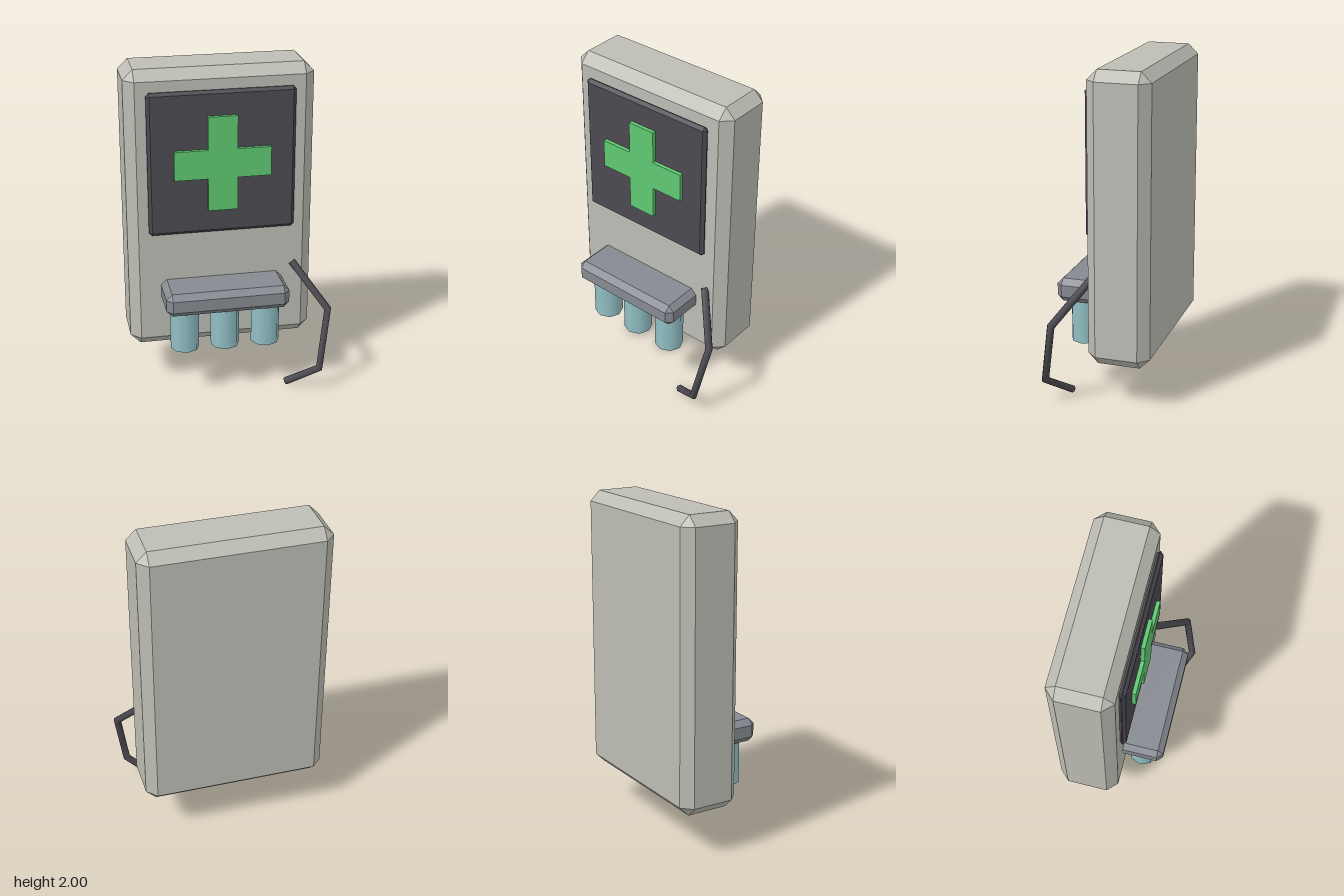
import * as THREE from 'three';
import { ConvexGeometry } from 'three/addons/geometries/ConvexGeometry.js';

const mat = (name, color) => new THREE.MeshStandardMaterial({ name, color });

// Box with bevelled edges and triangular corners, given by its min and max corners
function chamferBox(min, max, c) {
  const centre = min.map((v, i) => (v + max[i]) / 2);
  const half = min.map((v, i) => (max[i] - v) / 2);
  const points = [];
  for (const sx of [-1, 1]) for (const sy of [-1, 1]) for (const sz of [-1, 1]) {
    const sign = [sx, sy, sz];
    for (let full = 0; full < 3; full++) {
      const p = sign.map((s, i) => centre[i] + s * (half[i] - (i === full ? 0 : c)));
      points.push(new THREE.Vector3(...p));
    }
  }
  return new ConvexGeometry(points);
}

// Straight runs joined with mitred corners
class BentPath extends THREE.Curve {
  constructor(points) {
    super();
    this.points = points;
  }
  getPointAt(u) {
    return this.points[Math.round(u * (this.points.length - 1))].clone();
  }
  getTangentAt(u) {
    const p = this.points, i = Math.round(u * (p.length - 1));
    const t = new THREE.Vector3();
    if (i > 0) t.add(p[i].clone().sub(p[i - 1]).normalize());
    if (i < p.length - 1) t.add(p[i + 1].clone().sub(p[i]).normalize());
    return t.normalize();
  }
}

export function createModel() {
  const model = new THREE.Group();
  model.name = 'wallDispenser';

  const casing = mat('casing grey', 0xbdbdb5);
  const dark = mat('dark charcoal', 0x4c4a51);
  const green = mat('cross green', 0x5fc872);
  const steel = mat('shelf grey', 0x868a91);
  const glass = mat('pale teal', 0x92c0c5);

  const add = (name, geometry, material, parent = model) => {
    const mesh = new THREE.Mesh(geometry, material);
    mesh.name = name;
    parent.add(mesh);
    return mesh;
  };

  // Casing, screen and shelf
  add('casing', chamferBox([-0.6, 0.275, -0.322], [0.512, 2, 0.05], 0.06), casing);
  add('screen', chamferBox([-0.48, 1.015, 0.046], [0.39, 1.88, 0.087], 0.018), dark);
  add('shelf', chamferBox([-0.413, 0.573, 0], [0.325, 0.715, 0.297], 0.035), steel);

  // Raised plus sign on the screen
  const L = 0.285, W = 0.087;
  const outline = [
    [-W, -L], [W, -L], [W, -W], [L, -W], [L, W], [W, W],
    [W, L], [-W, L], [-W, W], [-L, W], [-L, -W], [-W, -W],
  ].map(([x, y]) => new THREE.Vector2(x, y));
  const cross = add('cross', new THREE.ExtrudeGeometry(new THREE.Shape(outline),
    { depth: 0.03, bevelEnabled: false }), green);
  cross.position.set(-0.045, 1.448, 0.08);

  // Three vials hanging below the shelf
  const vials = new THREE.Group();
  vials.name = 'vials';
  model.add(vials);
  for (const x of [-0.29, -0.045, 0.203]) {
    add('vial', new THREE.CylinderGeometry(0.087, 0.087, 0.29, 8), glass, vials)
      .position.set(x, 0.455, 0.153);
  }

  // Bent hose from the casing front, with closed ends
  const hose = new THREE.Group();
  hose.name = 'hose';
  model.add(hose);
  const radius = 0.023;
  const path = new BentPath([
    [0.39, 0.768, 0.05], [0.573, 0.52, 0.235], [0.514, 0.153, 0.298], [0.33, 0.024, 0.197],
  ].map((p) => new THREE.Vector3(...p)));
  add('hoseTube', new THREE.TubeGeometry(path, 3, radius, 8, false), dark, hose);
  for (const end of [0, 1]) {
    const cap = add('hoseCap', new THREE.CircleGeometry(radius, 8), dark, hose);
    cap.position.copy(path.getPointAt(end));
    cap.quaternion.setFromUnitVectors(new THREE.Vector3(0, 0, 1),
      path.getTangentAt(end).multiplyScalar(end ? 1 : -1));
  }

  return model;
}
